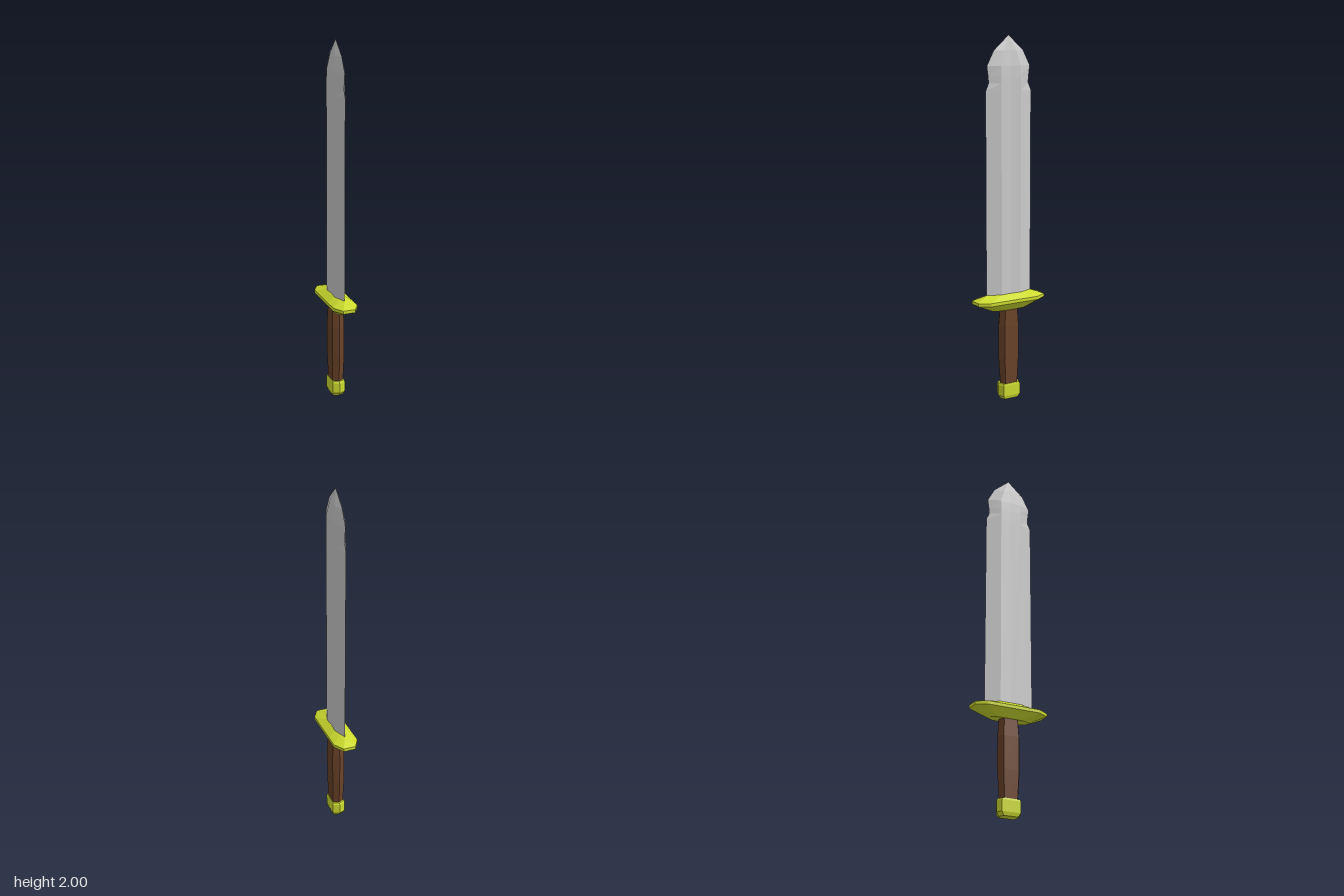
import * as THREE from 'three';

// Skin a stack of closed rings (each from +z round by +x) and cap both ends.
function loft(name, color, rings) {
  const pos = [];
  const tri = (a, b, c) => {
    const n = b.clone().sub(a).cross(c.clone().sub(a));
    if (n.length() > 1e-9) for (const p of [a, b, c]) pos.push(p.x, p.y, p.z);
  };
  const n = rings[0].length;
  const bottom = rings[0], top = rings[rings.length - 1];
  const cb = new THREE.Vector3(0, bottom[0].y, 0), ct = new THREE.Vector3(0, top[0].y, 0);
  for (let j = 0; j < n; j++) {
    const k = (j + 1) % n;
    for (let i = 0; i + 1 < rings.length; i++) {
      const a = rings[i], b = rings[i + 1];
      tri(a[j], a[k], b[k]);
      tri(a[j], b[k], b[j]);
    }
    tri(cb, bottom[k], bottom[j]);
    tri(ct, top[j], top[k]);
  }
  const geo = new THREE.BufferGeometry();
  geo.setAttribute('position', new THREE.Float32BufferAttribute(pos, 3));
  geo.computeVertexNormals();
  const mesh = new THREE.Mesh(geo, new THREE.MeshStandardMaterial({ color, flatShading: true }));
  mesh.name = name;
  return mesh;
}

// Mirror a quarter outline of [x, z] pairs (front to side) into a full ring at height y.
function ring(y, quarter) {
  const half = [...quarter, ...quarter.filter(([, z]) => z > 0).reverse().map(([x, z]) => [x, -z])];
  const full = [...half, ...half.filter(([x]) => x > 0).reverse().map(([x, z]) => [-x, z])];
  return full.map(([x, z]) => new THREE.Vector3(x, y, z));
}

export function createModel() {
  const model = new THREE.Group();
  model.name = 'sword';
  const gold = 0xcddc2f, brown = 0x6b4329, steel = 0xcccccc;

  // Blade: height, edge z, ridge x, ridge z, hollow x
  const blade = [
    [0.59, 0.14, 0.03, 0.06, 0.025],
    [1.71, 0.14, 0.03, 0.06, 0.025],
    [1.75, 0.122, 0.03, 0.06, 0.025],
    [1.785, 0.125, 0.03, 0.06, 0.025],
    [1.84, 0.132, 0.028, 0.06, 0.024],
    [1.92, 0.09, 0.018, 0.036, 0.015],
    [2.0, 0, 0, 0, 0],
  ].map(([y, e, rx, rz, hx]) => {
    const half = [[0, e], [rx, rz], [hx, 0], [rx, -rz]];
    return [...half, ...half.map(([x, z]) => [-x, -z])].map(([x, z]) => new THREE.Vector3(x, y, z));
  });
  model.add(loft('blade', steel, blade));

  // Guard: long bevelled octagon narrowing to the blade above and the grip below
  const rim = [[0.035, 0.21], [0.07, 0.15], [0.07, 0.08]];
  model.add(loft('guard', gold, [
    ring(0.515, [[0.015, 0.11], [0.03, 0.08], [0.033, 0.04]]),
    ring(0.56, rim),
    ring(0.578, rim),
    ring(0.605, [[0.0005, 0.14], [0.015, 0.1], [0.03, 0.06]]),
  ]));

  // Grip and pommel share a flattened six-sided section
  const hilt = (y, x, z) => ring(y, [[0, z], [x, z * 0.68]]);
  model.add(loft('grip', brown, [
    hilt(0.08, 0.031, 0.053),
    hilt(0.24, 0.035, 0.064),
    hilt(0.42, 0.035, 0.064),
    hilt(0.525, 0.031, 0.055),
  ]));
  model.add(loft('pommel', gold, [
    [0, 0.03, 0.052], [0.02, 0.036, 0.067], [0.08, 0.036, 0.067], [0.09, 0.034, 0.062],
  ].map(([y, x, z]) => ring(y, [[0, z], [x, z * 0.78]]))));

  return model;
}
